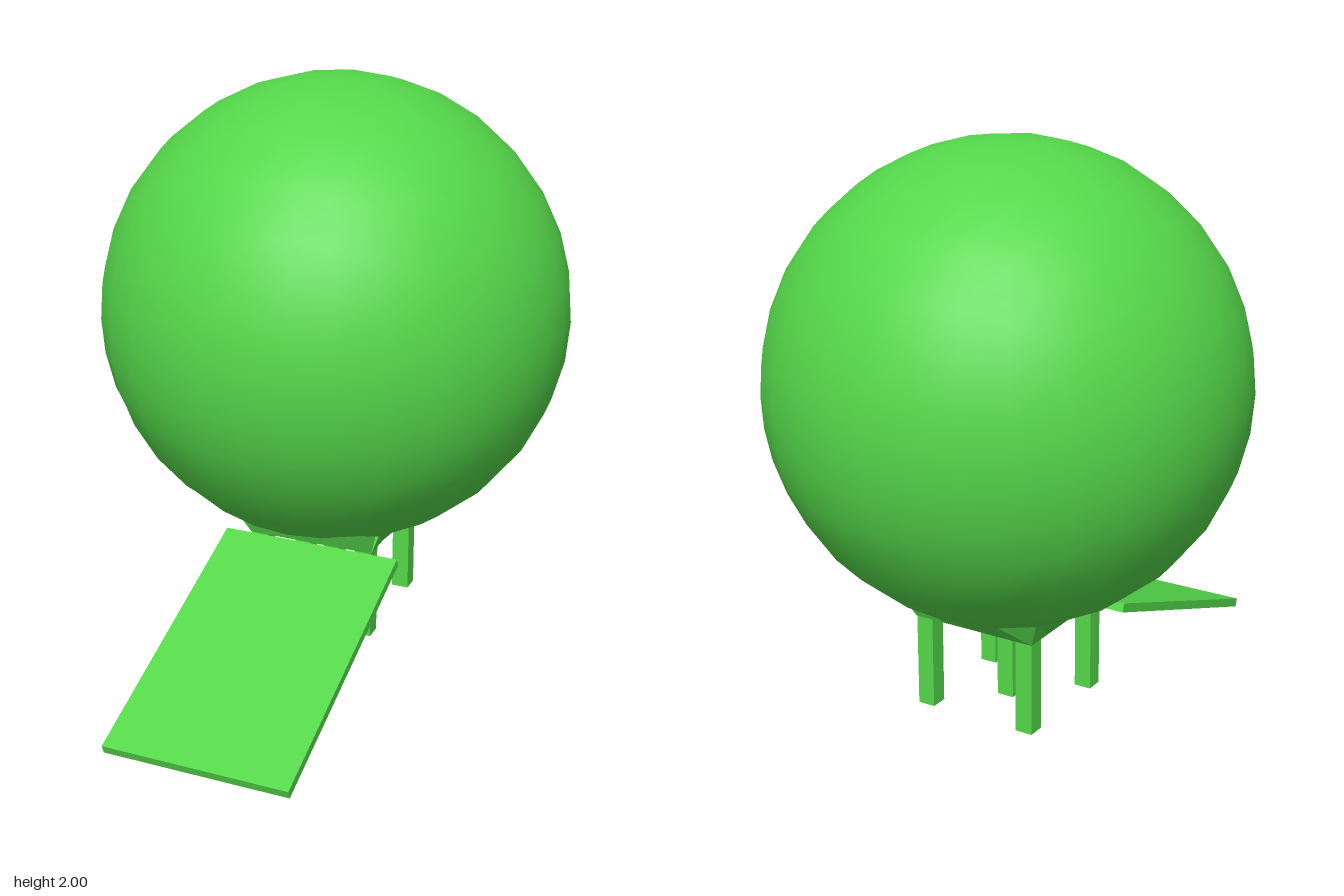
import * as THREE from 'three';

const R = 0.812, CY = 1.188, CZ = -0.18;
const material = new THREE.MeshStandardMaterial({ color: 0x55d84a, side: THREE.DoubleSide });

// Spreads a grid coordinate (-1..1) of a cube face evenly over the sphere
const spread = t => Math.tan(Math.PI / 4 * (0.9 * t + 0.1 * t ** 3));
const onSphere = (x, y, z) =>
  new THREE.Vector3(spread(x), spread(y), spread(z)).normalize();

function add(parent, name, geometry, x = 0, y = 0, z = 0) {
  const mesh = new THREE.Mesh(geometry, material);
  mesh.name = name;
  mesh.position.set(x, y, z);
  parent.add(mesh);
  return mesh;
}

// Ball made from a rounded cube, with an opening in its underside
function ballGeometry() {
  const g = new THREE.BoxGeometry(2, 2, 2, 8, 8, 8);
  const p = g.attributes.position, n = g.attributes.normal, index = g.index.array, kept = [];
  for (let i = 0; i < index.length; i += 3) {
    const tri = [index[i], index[i + 1], index[i + 2]];
    const mean = f => tri.reduce((s, v) => s + f(v), 0) / 3;
    const x = mean(v => p.getX(v)), y = mean(v => p.getY(v)), z = mean(v => p.getZ(v));
    const open = y < -0.999 && Math.abs(x) < 0.5 && z > -0.5 && z < 0.75;
    if (!open) kept.push(...tri);
  }
  for (let i = 0; i < p.count; i++) {
    const d = onSphere(p.getX(i), p.getY(i), p.getZ(i));
    n.setXYZ(i, d.x, d.y, d.z);
    p.setXYZ(i, d.x * R, d.y * R, d.z * R);
  }
  g.setIndex(kept);
  g.clearGroups();
  return g;
}

// Ruled strip between two rows of points
function strip(top, bottom) {
  const pos = [];
  for (let i = 0; i < top.length - 1; i++) {
    for (const v of [top[i], bottom[i + 1], bottom[i], top[i], top[i + 1], bottom[i + 1]])
      pos.push(v.x, v.y, v.z);
  }
  const g = new THREE.BufferGeometry();
  g.setAttribute('position', new THREE.Float32BufferAttribute(pos, 3));
  g.computeVertexNormals();
  return g;
}

export function createModel() {
  const model = new THREE.Group();
  model.name = 'ballOnLegs';
  add(model, 'ball', ballGeometry(), 0, CY, CZ);

  // Tapered base: walls from the opening down to a square plate
  const base = new THREE.Group();
  base.name = 'base';
  base.position.z = CZ;
  model.add(base);
  const half = 0.23, plateY = 0.378;
  for (let side = 0; side < 4; side++) {
    const top = [], bottom = [];
    for (let i = 0; i <= 4; i++) {
      const t = i / 4 - 0.5;
      const v = onSphere(t, -1, 0.5).multiplyScalar(R);
      v.y += CY;
      // The doorway side rises to a straight sill
      if (side === 0) v.set(t * 0.54, 0.51, 0.285);
      top.push(v);
      bottom.push(new THREE.Vector3(t * 2 * half, plateY, half));
    }
    add(base, 'baseWall', strip(top, bottom)).rotation.y = side * Math.PI / 2;
  }
  add(base, 'basePlate', new THREE.PlaneGeometry(half * 2, half * 2), 0, plateY, 0).rotation.x = Math.PI / 2;
  add(base, 'floor', new THREE.PlaneGeometry(0.54, 0.56), 0, 0.51, 0).rotation.x = -Math.PI / 2;

  // Four corner legs and one in the middle
  const legHeight = plateY - 0.05;
  for (const [x, z] of [[0, 0], [1, 1], [1, -1], [-1, 1], [-1, -1]])
    add(base, 'leg', new THREE.BoxGeometry(0.062, legHeight, 0.062),
      x * 0.197, 0.05 + legHeight / 2, z * 0.197);

  // Entry ramp
  add(model, 'ramp', new THREE.BoxGeometry(0.65, 0.032, 1.01), 0, 0.188, 0.52).rotation.x = 0.347;
  return model;
}
